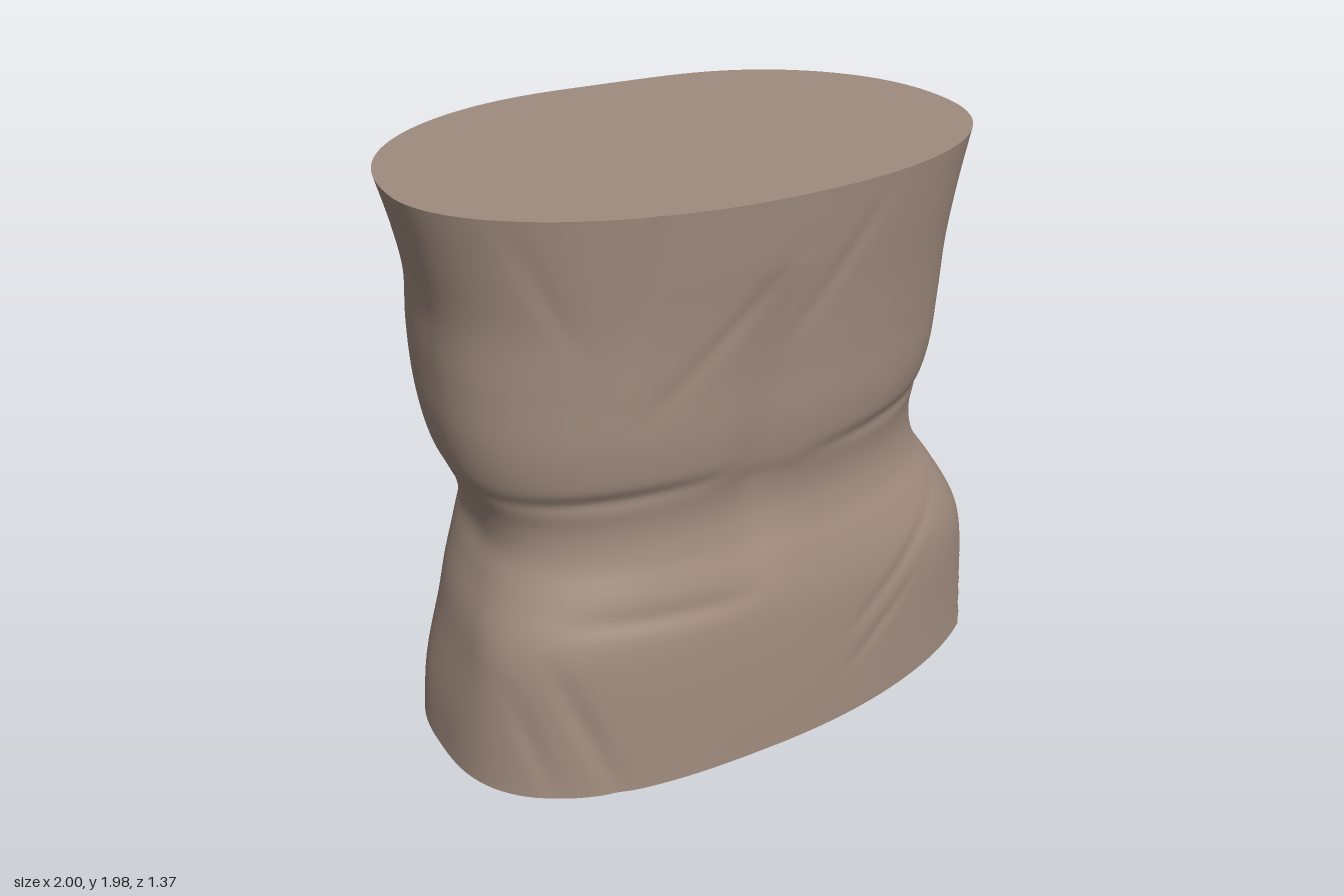
import * as THREE from 'three';
import { toCreasedNormals } from 'three/addons/utils/BufferGeometryUtils.js';

const HEIGHT = 1.975, RINGS = 140, SIDES = 220;

// Outline by height: y, reach to -x, +x, +z (back of the body), -z (belly)
const OUTLINE = [
  [0.00, 0.99, 1.20, 0.685, 0.45],
  [0.20, 0.97, 1.14, 0.68, 0.49],
  [0.40, 0.93, 1.06, 0.67, 0.525],
  [0.55, 0.895, 1.00, 0.655, 0.535],
  [0.70, 0.835, 0.92, 0.62, 0.535],
  [0.80, 0.80, 0.86, 0.59, 0.53],
  [0.90, 0.81, 0.84, 0.575, 0.53],
  [1.00, 0.85, 0.84, 0.585, 0.54],
  [1.07, 0.88, 0.855, 0.605, 0.55],
  [1.20, 0.905, 0.89, 0.625, 0.58],
  [1.40, 0.91, 0.905, 0.635, 0.62],
  [1.60, 0.91, 0.91, 0.65, 0.635],
  [1.80, 0.95, 0.935, 0.67, 0.635],
  [HEIGHT, 1.00, 0.97, 0.685, 0.615],
];

// Skin folds, fading to both ends: x1, y1, x2, y2, width, depth
const BACK_FOLDS = [
  [-0.95, 1.0, -0.1, 1.065, 0.03, 0.014],
  [0.1, 1.055, 0.95, 1.08, 0.03, 0.014],
  [-0.05, 0.6, -0.02, 1.75, 0.1, 0.026],
  [-0.75, 0.63, 0.0, 0.61, 0.035, 0.01],
  [-0.77, 0.55, -0.56, -0.05, 0.035, 0.016],
  [-0.88, 0.45, -0.76, -0.05, 0.03, 0.01],
  [0.25, 0.3, 0.85, 0.7, 0.03, 0.008],
  [0.25, 0.15, 0.65, 0.45, 0.025, 0.006],
  [-0.5, 1.4, -0.4, 2.05, 0.03, 0.009],
  [-0.5, 1.25, 0.1, 1.85, 0.03, 0.006],
  [0.0, 1.45, 0.38, 1.95, 0.03, 0.006],
  [-0.82, 2.0, -0.6, 1.5, 0.03, 0.007],
];
const BELLY_FOLDS = [
  [-1.0, 0.92, -0.1, 1.04, 0.06, 0.014],
  [0.2, 1.03, 0.9, 0.98, 0.07, 0.006],
];

const gauss = (d, w) => Math.exp(-(d * d) / (w * w));
const signedPow = (v, p) => Math.sign(v) * Math.pow(Math.abs(v), p);
const { lerp, clamp, smoothstep } = THREE.MathUtils;

function foldDepth(x, y, [x1, y1, x2, y2, width, depth]) {
  const dx = x2 - x1, dy = y2 - y1;
  const t = clamp(((x - x1) * dx + (y - y1) * dy) / (dx * dx + dy * dy), 0, 1);
  const distance = Math.hypot(x - x1 - t * dx, y - y1 - t * dy);
  return depth * Math.sin(Math.PI * t) * gauss(distance, width);
}

const spline = new THREE.CubicInterpolant(
  OUTLINE.map(r => r[0]), OUTLINE.flatMap(r => r.slice(1)), 4, new Float32Array(4));

// Roundness of each quarter of the section
function roundness(y, c, s) {
  const up = y / HEIGHT;
  if (s >= 0) return c < 0 ? lerp(2.75, 2.0, up) : lerp(2.0, 2.3, up);
  if (c < 0) return lerp(2.65, 2.3, up);
  return lerp(1.95, 2.1, up) - 0.28 * gauss(y - 0.33, 0.2) + 0.28 * gauss(y - 1.02, 0.25);
}

// One point of the skin at a height and an angle around the body
function skinPoint(y, angle) {
  const [left, right, back, belly] = spline.evaluate(y);
  const c = Math.cos(angle), s = Math.sin(angle);
  // The widest line swings back at the hips
  const axisZ = 0.1 + 0.14 * gauss(y - 0.5, 0.26);
  const n = roundness(y, c, s);
  const x = signedPow(c, 2 / n) * (c < 0 ? left : right);
  let z = axisZ + signedPow(s, 2 / n) * (s >= 0 ? back - axisZ : belly + axisZ);
  const facing = smoothstep(Math.abs(s), 0.05, 0.45);

  if (s > 0) {
    for (const f of BACK_FOLDS) z -= facing * foldDepth(x, y, f);
  } else {
    for (const f of BELLY_FOLDS) z += facing * foldDepth(x, y, f);
    // Chest swellings, the hollow between them, and the navel
    const rise = gauss(y - 1.37, y < 1.37 ? 0.24 : 0.33);
    z -= facing * rise * (0.125 * gauss(x + 0.53, 0.34) + 0.1 * gauss(x - 0.52, 0.34));
    z += facing * 0.012 * gauss(x - 0.03, 0.2) * gauss(y - 1.4, 0.35);
    z += 0.03 * gauss(x - 0.12, 0.32) * smoothstep(y, 1.6, HEIGHT);
    z += 0.03 * gauss(Math.hypot(x + 0.03, (y - 0.62) * 0.8), 0.035);
    z += 0.012 * gauss(x + 0.03, 0.1) * gauss(y - 0.65, 0.2);
  }
  // Flat cut on the +x hip
  return [Math.min(x, 1), y, z];
}

function skinGeometry() {
  const pos = [], index = [];
  for (let i = 0; i <= RINGS; i++)
    for (let j = 0; j < SIDES; j++)
      pos.push(...skinPoint(HEIGHT * i / RINGS, j / SIDES * Math.PI * 2));
  for (let i = 0; i < RINGS; i++)
    for (let j = 0; j < SIDES; j++) {
      const k = (j + 1) % SIDES;
      const a = i * SIDES + j, b = i * SIDES + k, c = a + SIDES, d = b + SIDES;
      index.push(a, c, b, b, c, d);
    }
  const g = new THREE.BufferGeometry();
  g.setAttribute('position', new THREE.Float32BufferAttribute(pos, 3));
  g.setIndex(index);
  return toCreasedNormals(g, 0.6);
}

// Flat end closing the skin at a given height
function capGeometry(y, facesUp) {
  const pos = [0, y, 0.05], index = [];
  for (let j = 0; j < SIDES; j++) {
    pos.push(...skinPoint(y, j / SIDES * Math.PI * 2));
    const a = j + 1, b = (j + 1) % SIDES + 1;
    index.push(0, facesUp ? b : a, facesUp ? a : b);
  }
  const g = new THREE.BufferGeometry();
  g.setAttribute('position', new THREE.Float32BufferAttribute(pos, 3));
  g.setIndex(index);
  g.computeVertexNormals();
  return g;
}

export function createModel() {
  const group = new THREE.Group();
  group.name = 'torso';
  const material = new THREE.MeshStandardMaterial({ color: 0xa08b7e });
  const add = (name, geometry) => {
    const mesh = new THREE.Mesh(geometry, material);
    mesh.name = name;
    group.add(mesh);
  };
  add('skin', skinGeometry());
  add('topCut', capGeometry(HEIGHT, true));
  add('bottomCut', capGeometry(0, false));
  return group;
}
